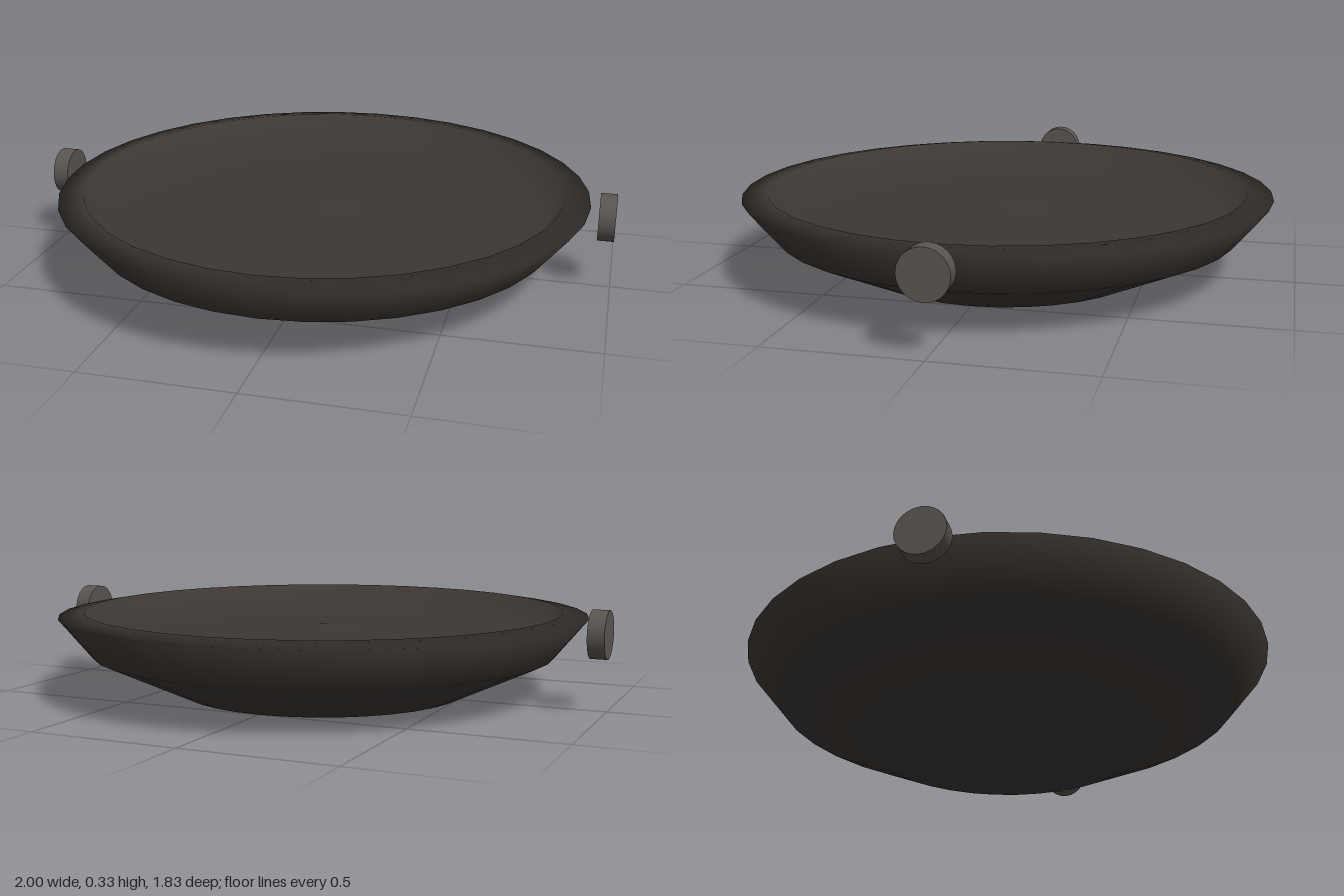
import * as THREE from 'three';

export function createModel() {
  const model = new THREE.Group();
  const iron = new THREE.MeshStandardMaterial({ color: 0x3c3733, side: THREE.DoubleSide });
  const knobMaterial = new THREE.MeshStandardMaterial({ color: 0x5a5551 });

  // Shallow pan: flat base, two-step flared wall, sloping lip, inner wall and a floor rising to the centre
  const profile = [
    [0, 0], [0.5, 0], [0.805, 0.142], [0.917, 0.278],
    [0.83, 0.293], [0.76, 0.185], [0, 0.235],
  ].map(([r, y]) => new THREE.Vector2(r, y));
  const pan = new THREE.Mesh(new THREE.LatheGeometry(profile, 36), iron);
  pan.name = 'pan';
  model.add(pan);

  // Round handle discs, standing just off the rim on both sides
  const disc = new THREE.CylinderGeometry(0.08, 0.08, 0.055, 24).rotateZ(Math.PI / 2);
  for (const side of [-1, 1]) {
    const handle = new THREE.Mesh(disc, knobMaterial);
    handle.name = side > 0 ? 'leftHandle' : 'rightHandle';
    handle.position.set(side * 0.9725, 0.25, 0);
    model.add(handle);
  }
  return model;
}
